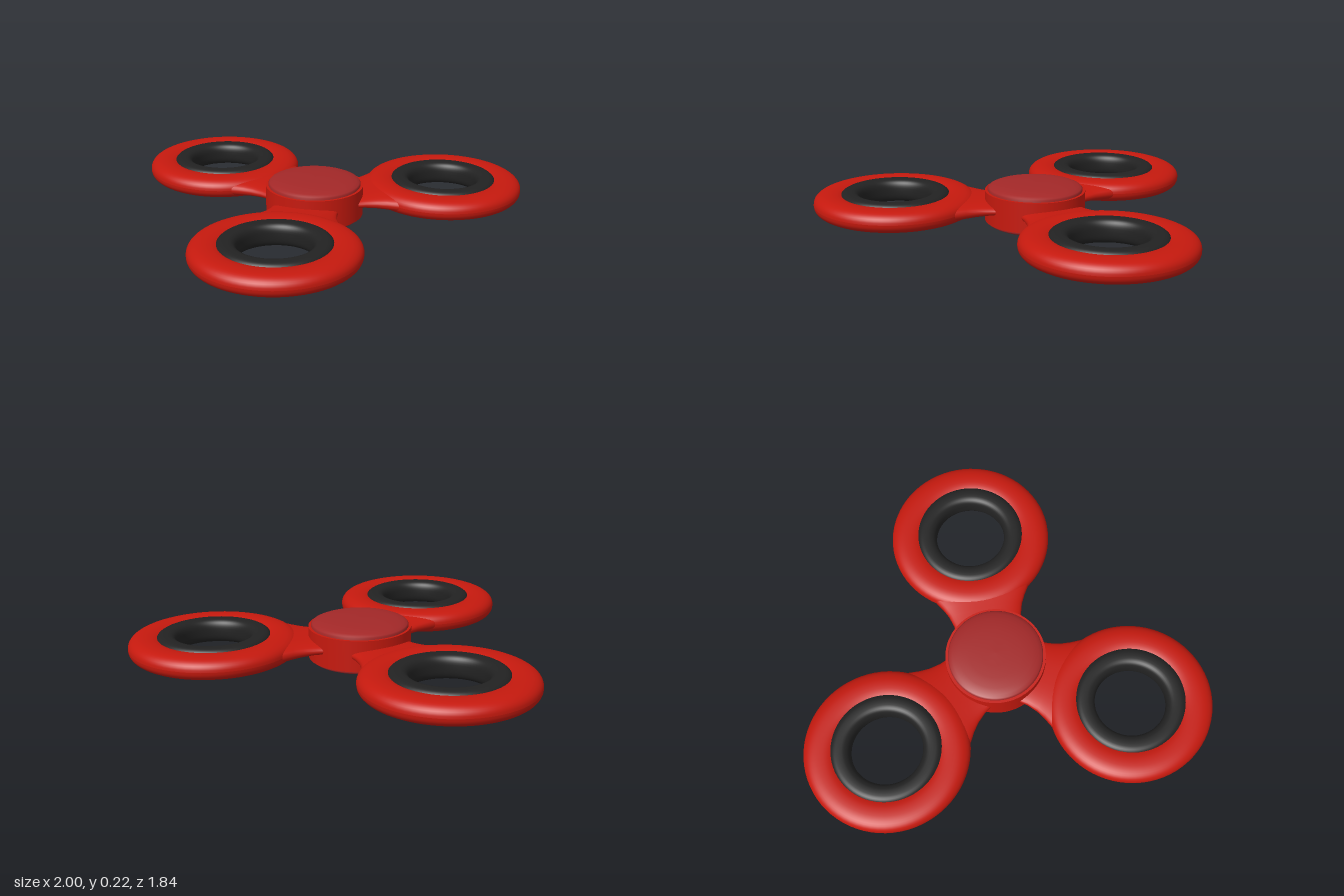
import * as THREE from 'three';

const MID = 0.115;   // height of the middle plane
const HUB_Z = -0.175;
const REACH = 0.69;  // hub centre to ring centre

const red = new THREE.MeshStandardMaterial({ color: 0xc5190e });
const capRed = new THREE.MeshStandardMaterial({ color: 0xa32828 });
const black = new THREE.MeshStandardMaterial({ color: 0x222222 });

function add(parent, name, geometry, material) {
  const mesh = new THREE.Mesh(geometry, material);
  mesh.name = name;
  parent.add(mesh);
  return mesh;
}

// Point on a superellipse; a larger power is boxier
function superPoint(t, a, b, power) {
  const f = (v) => Math.sign(v) * Math.abs(v) ** (2 / power);
  return new THREE.Vector2(a * f(Math.cos(t)), b * f(Math.sin(t)));
}

// Closed ring with a soft-edged section
function softRing(inner, outer, halfHeight, power) {
  const points = [];
  for (let i = 0; i <= 40; i++) {
    const p = superPoint((i / 40) * Math.PI * 2, (outer - inner) / 2, halfHeight, power);
    points.push(p.add(new THREE.Vector2((inner + outer) / 2, 0)));
  }
  return new THREE.LatheGeometry(points, 72);
}

// Arm lofted along +z through [z, half width, half thickness] sections
function armGeometry() {
  const sections = [
    [0.08, 0.16, 0.026], [0.17, 0.165, 0.028], [0.22, 0.17, 0.031],
    [0.275, 0.186, 0.036], [0.32, 0.208, 0.041], [0.365, 0.236, 0.046], [0.4, 0.25, 0.05],
  ];
  const n = 40;
  const positions = [];
  const index = [];
  sections.forEach(([z, w, h], k) => {
    for (let i = 0; i < n; i++) {
      const p = superPoint((i / n) * Math.PI * 2, w, h, 2.6);
      positions.push(p.x, p.y, z);
      if (k === 0) continue;
      const a = (k - 1) * n + i;
      const b = (k - 1) * n + ((i + 1) % n);
      index.push(a, b, b + n, a, b + n, a + n);
    }
  });
  const geometry = new THREE.BufferGeometry();
  geometry.setAttribute('position', new THREE.Float32BufferAttribute(positions, 3));
  geometry.setIndex(index);
  geometry.computeVertexNormals();
  return geometry;
}

export function createModel() {
  const model = new THREE.Group();
  model.name = 'spinner';
  const body = new THREE.Group();
  body.name = 'body';
  body.position.set(0, MID, HUB_Z);
  model.add(body);

  // Three lobes, each an arm, a rounded rim and a dark weight ring
  const arm = armGeometry();
  const rim = softRing(0.23, 0.4, 0.053, 2.3);
  const weight = softRing(0.173, 0.275, 0.059, 2.8);
  for (let i = 0; i < 3; i++) {
    const lobe = new THREE.Group();
    lobe.name = 'lobe' + (i + 1);
    lobe.rotation.y = (i * Math.PI * 2) / 3;
    body.add(lobe);
    add(lobe, 'arm', arm, red);
    add(lobe, 'rim', rim, red).position.z = REACH;
    add(lobe, 'weightRing', weight, black).position.z = REACH;
  }

  // Central hub
  add(body, 'hub', new THREE.CylinderGeometry(0.245, 0.245, 0.15, 72), red);

  // Domed finger caps above and below
  const capProfile = [
    [0.232, 0.06], [0.232, 0.083], [0.226, 0.09], [0.21, 0.097],
    [0.18, 0.104], [0.13, 0.109], [0.07, 0.111], [0, 0.112],
  ].map(([x, y]) => new THREE.Vector2(x, y));
  const cap = new THREE.LatheGeometry(capProfile, 72);
  add(body, 'topCap', cap, capRed);
  add(body, 'bottomCap', cap, capRed).rotation.x = Math.PI;

  return model;
}
